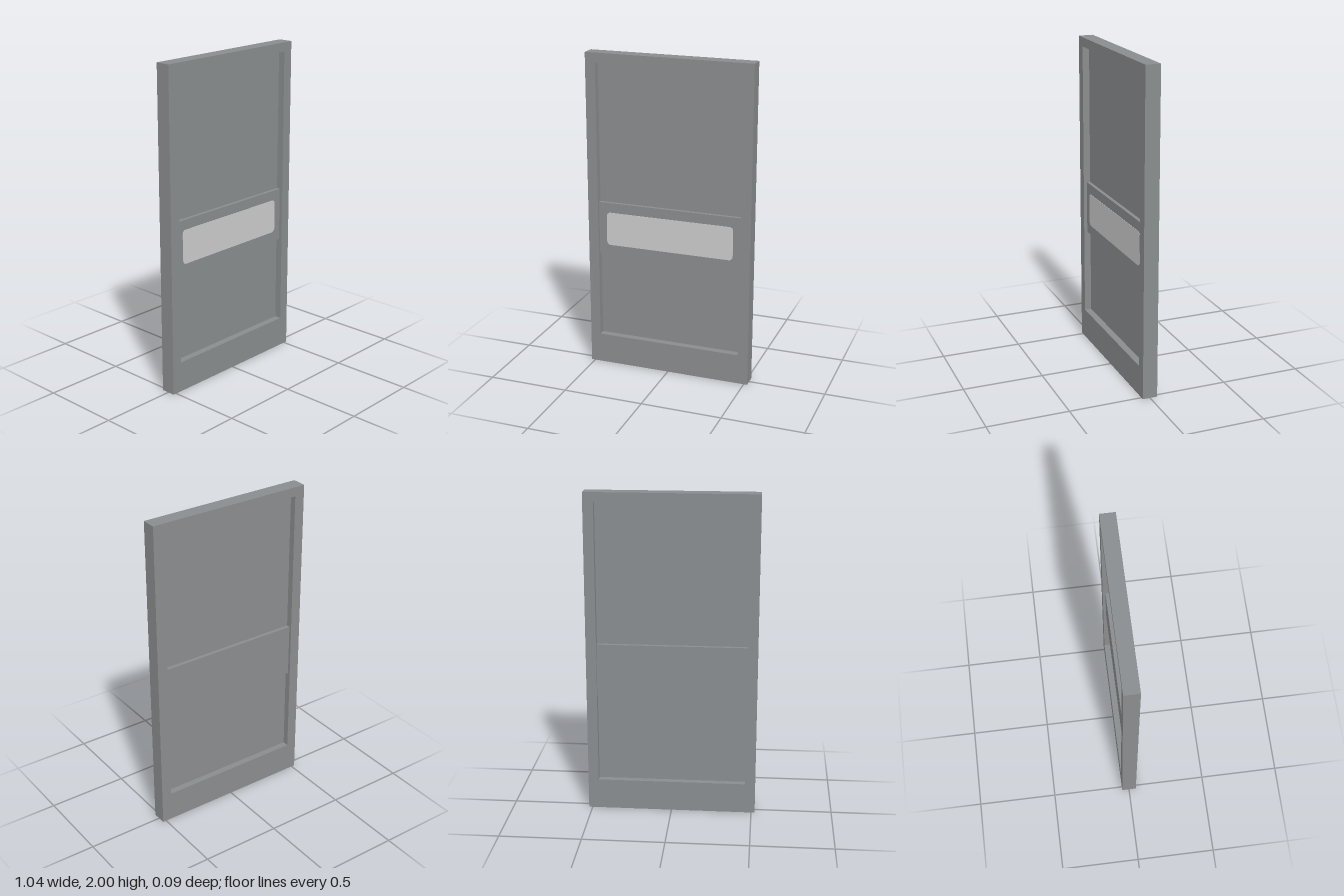
import * as THREE from 'three';

const HALF_W = 0.522, HALF_D = 0.046, OPEN_W = 0.458;

// Rectangle outline, optionally with rounded corners
function rectPath(path, x0, y0, x1, y1, r = 0) {
  path.moveTo(x0 + r, y0).lineTo(x1 - r, y0);
  if (r) path.absarc(x1 - r, y0 + r, r, -Math.PI / 2, 0);
  path.lineTo(x1, y1 - r);
  if (r) path.absarc(x1 - r, y1 - r, r, 0, Math.PI / 2);
  path.lineTo(x0 + r, y1);
  if (r) path.absarc(x0 + r, y1 - r, r, Math.PI / 2, Math.PI);
  path.lineTo(x0, y0 + r);
  if (r) path.absarc(x0 + r, y0 + r, r, Math.PI, Math.PI * 1.5);
  path.closePath();
  return path;
}

export function createModel() {
  const door = new THREE.Group();
  door.name = 'door';
  const greyPaint = new THREE.MeshStandardMaterial({ color: 0x8a8d8f });
  greyPaint.name = 'grey paint';
  const paleGrey = new THREE.MeshStandardMaterial({ color: 0xcccccc });
  paleGrey.name = 'pale grey plate';

  // Extrude an outline between two depths
  function slab(name, shape, z0, z1, material) {
    const geometry = new THREE.ExtrudeGeometry(shape, {
      depth: z1 - z0, bevelEnabled: false, curveSegments: 8,
    });
    geometry.translate(0, 0, z0);
    const mesh = new THREE.Mesh(geometry, material);
    mesh.name = name;
    door.add(mesh);
  }

  // Outer frame with one large opening and a deeper bottom rail
  const frame = rectPath(new THREE.Shape(), -HALF_W, 0, HALF_W, 2);
  frame.holes.push(rectPath(new THREE.Path(), -OPEN_W, 0.19, OPEN_W, 1.943));
  slab('frame', frame, -HALF_D, HALF_D, greyPaint);

  // Thin recessed panels above and below the middle rail
  for (const [name, y0, y1] of [['lowerPanel', 0.19, 0.735], ['upperPanel', 1.07, 1.943]]) {
    slab(name, rectPath(new THREE.Shape(), -OPEN_W, y0, OPEN_W, y1), -0.006, 0.003, greyPaint);
  }

  // Middle rail, set back from the frame on both faces
  const railFront = 0.025;
  slab('middleRail', rectPath(new THREE.Shape(), -OPEN_W, 0.735, OPEN_W, 1.07), -0.029, railFront, greyPaint);

  // Rounded plate on the front of the rail
  slab('plate', rectPath(new THREE.Shape(), -0.408, 0.797, 0.408, 1.008, 0.025), railFront, railFront + 0.002, paleGrey);

  return door;
}
